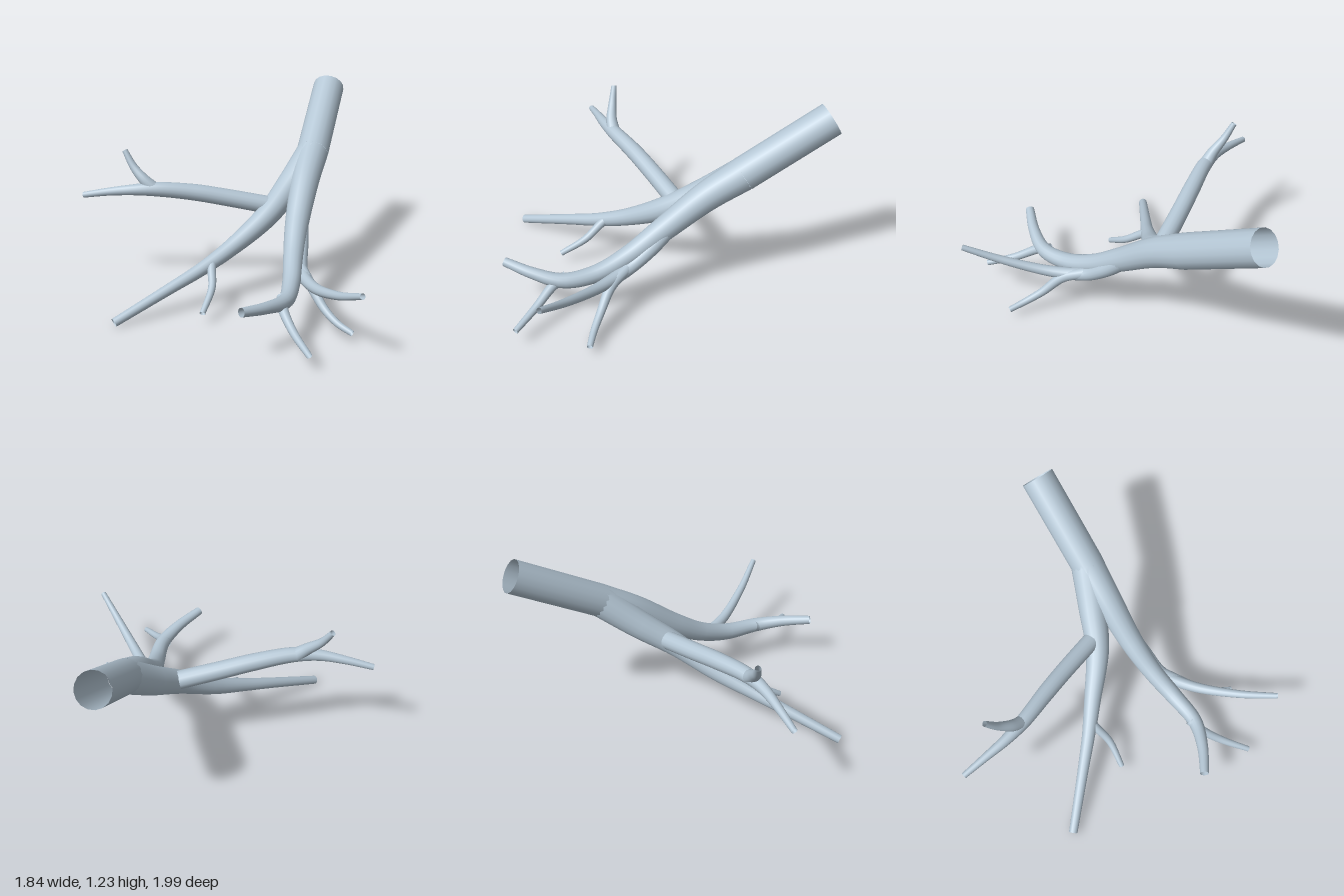
import * as THREE from 'three';

const SIDES = 16;

// Open, smooth tube through points [x, y, z, radius], tapering between them.
function taperedTube(points, steps) {
  const curve = new THREE.CatmullRomCurve3(
    points.map(([x, y, z]) => new THREE.Vector3(x, y, z)), false, 'centripetal');
  const geometry = new THREE.TubeGeometry(curve, steps, 1, SIDES, false);
  const position = geometry.attributes.position;
  const centre = new THREE.Vector3();
  const offset = new THREE.Vector3();
  const last = points.length - 1;
  for (let i = 0; i <= steps; i++) {
    // match the ring spacing of the tube, then blend the radii of its two control points
    const t = curve.getUtoTmapping(i / steps);
    const k = Math.min(Math.floor(t * last), last - 1);
    const radius = THREE.MathUtils.lerp(points[k][3], points[k + 1][3], t * last - k);
    curve.getPoint(t, centre);
    for (let j = 0; j <= SIDES; j++) {
      const v = i * (SIDES + 1) + j;
      offset.fromBufferAttribute(position, v).sub(centre).multiplyScalar(radius).add(centre);
      position.setXYZ(v, offset.x, offset.y, offset.z);
    }
  }
  return geometry;
}

const PARTS = {
  // main stem and its two forks
  trunk: [[0.822, 1.145, -0.935, 0.105], [0.61, 0.83, -0.45, 0.105]],
  leftFork: [
    [0.61, 0.83, -0.45, 0.104], [0.52, 0.7, -0.25, 0.092], [0.42, 0.5, 0, 0.075],
    [0.36, 0.365, 0.2, 0.062], [0.31, 0.285, 0.4, 0.055], [0.235, 0.27, 0.6, 0.047],
    [0.1, 0.3, 0.73, 0.036], [-0.06, 0.333, 0.83, 0.028]],
  rightFork: [
    [0.61, 0.83, -0.45, 0.104], [0.43, 0.655, -0.3, 0.09], [0.25, 0.505, -0.155, 0.075],
    [0, 0.345, -0.04, 0.055], [-0.2, 0.25, 0.05, 0.043], [-0.4, 0.172, 0.13, 0.036],
    [-0.765, 0.03, 0.275, 0.028]],
  // long side branch and its twig
  sideBranch: [
    [0.26, 0.565, -0.212, 0.058], [0, 0.62, -0.235, 0.056], [-0.2, 0.66, -0.248, 0.054],
    [-0.45, 0.69, -0.262, 0.047], [-0.6, 0.683, -0.29, 0.035], [-0.75, 0.66, -0.34, 0.026],
    [-0.913, 0.625, -0.398, 0.019]],
  sideTwig: [
    [-0.46, 0.69, -0.265, 0.045], [-0.52, 0.745, -0.292, 0.036], [-0.585, 0.82, -0.345, 0.026],
    [-0.635, 0.917, -0.395, 0.018]],
  // twig hanging from the right fork
  rightForkTwig: [
    [-0.125, 0.29, 0.025, 0.028], [-0.135, 0.26, 0.07, 0.028], [-0.148, 0.18, 0.18, 0.024],
    [-0.225, 0.078, 0.322, 0.018]],
  // twig under the end of the left fork
  leftForkTwig: [
    [0.225, 0.28, 0.57, 0.036], [0.212, 0.25, 0.65, 0.031], [0.245, 0.172, 0.8, 0.025],
    [0.302, 0.113, 0.985, 0.018]],
  // forked branch beside the left fork
  lowerBranch: [
    [0.455, 0.53, -0.04, 0.05], [0.43, 0.4, 0.1, 0.047], [0.402, 0.3, 0.25, 0.043],
    [0.43, 0.285, 0.46, 0.035], [0.51, 0.36, 0.75, 0.026], [0.593, 0.464, 0.985, 0.018]],
  lowerTwig: [
    [0.403, 0.31, 0.25, 0.036], [0.435, 0.26, 0.39, 0.033], [0.495, 0.155, 0.51, 0.026],
    [0.555, 0.1, 0.6, 0.022], [0.628, 0.068, 0.68, 0.018]],
};

export function createModel() {
  const model = new THREE.Group();
  model.name = 'branch';
  const bark = new THREE.MeshStandardMaterial({ color: 0xb4c6d4, side: THREE.DoubleSide });
  bark.name = 'pale blue grey';
  for (const [name, points] of Object.entries(PARTS)) {
    const mesh = new THREE.Mesh(taperedTube(points, (points.length - 1) * 6), bark);
    mesh.name = name;
    model.add(mesh);
  }
  return model;
}
